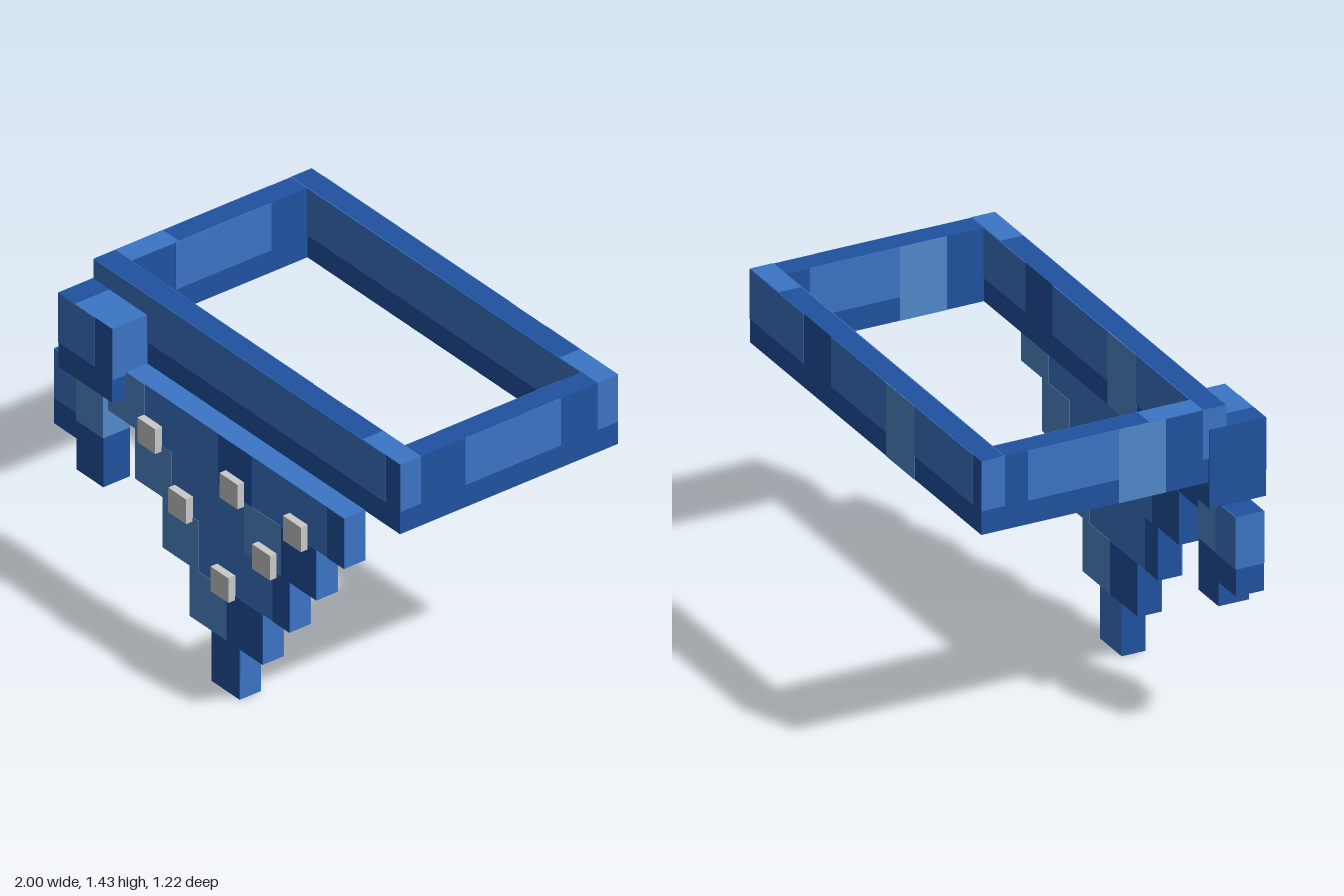
import * as THREE from 'three';

const mat = (name, color) => {
  const m = new THREE.MeshStandardMaterial({ color });
  m.name = name;
  return m;
};

export function createModel() {
  const root = new THREE.Group();
  root.name = 'armoredBelt';
  const mid = mat('mid blue', 0x3b75c5);
  const dark = mat('dark blue', 0x2052a0);
  const light = mat('light blue', 0x508aca);
  const grey = mat('grey stud', 0xc9c9c9);

  const slab = (parent, name, r, material) => {
    const [x, y, z] = [r.x, r.y, r.z];
    const mesh = new THREE.Mesh(new THREE.BoxGeometry(x[1] - x[0], y[1] - y[0], z[1] - z[0]), material);
    mesh.position.set((x[0] + x[1]) / 2, (y[0] + y[1]) / 2, (z[0] + z[1]) / 2);
    mesh.name = name;
    parent.add(mesh);
  };

  // A block with one material per face: +x, -x, top, bottom, front, back
  const block = (name, x, y, z, mats) => {
    const g = new THREE.Group();
    g.name = name;
    root.add(g);
    slab(g, name + 'Body', { x, y, z }, mats);
    return { g, x, y, z };
  };

  // A thin coloured plate on one face; side 1 is the positive face, 0 the negative
  const paint = (b, axis, side, material, range = {}) => {
    const r = { x: b.x, y: b.y, z: b.z, ...range };
    const s = b[axis][side];
    r[axis] = [s - 0.002, s + 0.002];
    slab(b.g, 'colourPatch', r, material);
  };

  // Belt: two long bars and two short bars
  const Y = [1.12, 1.43], hi = [1.22, 1.43];
  for (const [name, z] of [['frontBeltBar', [0.34, 0.44]], ['backBeltBar', [-0.61, -0.51]]]) {
    const b = block(name, [-0.88, 1], Y, z, [dark, dark, dark, dark, dark, dark]);
    paint(b, 'x', 1, mid, { y: hi });
    paint(b, 'x', 0, mid, { y: hi });
    paint(b, 'y', 1, mid, { x: [0.77, 1] });
    paint(b, 'z', 1, mid, { x: [-0.88, 0.91], y: hi });
    paint(b, 'z', 0, mid, { x: [0.56, 1], y: hi });
    paint(b, 'z', 0, mid, { x: [-0.11, 0.34], y: hi });
    paint(b, 'z', 0, light, { x: [-0.34, -0.11] });
    paint(b, 'z', 0, mid, { x: [-0.81, -0.34], y: hi });
  }
  for (const [name, x] of [['leftBeltBar', [0.9, 1]], ['rightBeltBar', [-0.88, -0.78]]]) {
    const b = block(name, x, Y, [-0.51, 0.34], [dark, dark, dark, dark, dark, dark]);
    paint(b, 'x', 1, mid, { y: hi, z: [-0.335, 0.125] });
    paint(b, 'x', 0, mid, { y: hi, z: [-0.41, -0.02] });
    paint(b, 'x', 0, light, { z: [-0.02, 0.18] });
    if (name === 'rightBeltBar') paint(b, 'y', 1, mid, { z: [0.11, 0.34] });
  }

  // Stepped front apron: x range, front patches and back patches for each row
  const rows = [
    [[-0.665, 0.785], [[light, -0.665, -0.44], [dark, 0.01, 0.22], [dark, 0.68, 0.785]],
      [[light, 0.56, 0.785], [dark, -0.665, -0.5]]],
    [[-0.5, 0.615], [[light, -0.5, -0.275], [light, 0.17, 0.4], [dark, 0.4, 0.615]],
      [[light, 0.39, 0.615], [dark, -0.5, -0.28]]],
    [[-0.33, 0.45], [[light, -0.33, -0.11], [dark, 0.345, 0.45]],
      [[light, 0.23, 0.45], [dark, -0.33, -0.225]]],
    [[-0.165, 0.285], [[light, -0.165, 0.065], [dark, 0.065, 0.285]],
      [[light, 0.06, 0.285], [dark, -0.165, 0.06]]],
    [[-0.03, 0.145], [[dark, -0.03, 0.145]], []],
  ];
  rows.forEach(([x, front, back], i) => {
    const y = [(4 - i) * 0.2245, (5 - i) * 0.2245];
    const b = block('apronRow' + (i + 1), x, y, [0.44, 0.54], [mid, dark, mid, dark, mid, mid]);
    front.forEach(([m, a, c]) => paint(b, 'z', 1, m, { x: [a, c] }));
    back.forEach(([m, a, c]) => paint(b, 'z', 0, m, { x: [a, c] }));
  });

  // Square studs on the apron
  const studs = [[-0.39, 0.93], [0.115, 0.93], [0.505, 0.93], [-0.2, 0.71], [0.315, 0.71], [0.06, 0.485]];
  for (const [x, y] of studs) {
    slab(root, 'stud', { x: [x - 0.055, x + 0.055], y: [y - 0.055, y + 0.055], z: [0.53, 0.573] }, grey);
  }

  // Knot on the belt's right front corner
  const knot = block('knot', [-0.885, -0.555], [1.01, 1.34], [0.365, 0.608], [dark, dark, mid, dark, dark, dark]);
  paint(knot, 'z', 1, mid, { x: [-0.885, -0.665], y: [1.12, 1.34] });
  paint(knot, 'x', 1, mid, { y: [1.11, 1.34] });
  paint(knot, 'y', 1, dark, { x: [-0.885, -0.785] });

  // Two hanging sash ends, dark at the tips
  const sash = (name, x, y, z, upper, split) => {
    const b = block(name, x, y, z, [dark, dark, dark, dark, dark, dark]);
    for (const axis of ['x', 'z']) for (const side of [0, 1]) paint(b, axis, side, upper, { y: [split, y[1]] });
  };
  sash('outerSashEnd', [-0.998, -0.836], [0.675, 1.01], [0.42, 0.54], mid, 0.79);
  sash('innerSashEnd', [-0.832, -0.667], [0.56, 1.01], [0.433, 0.563], light, 0.78);

  return root;
}
